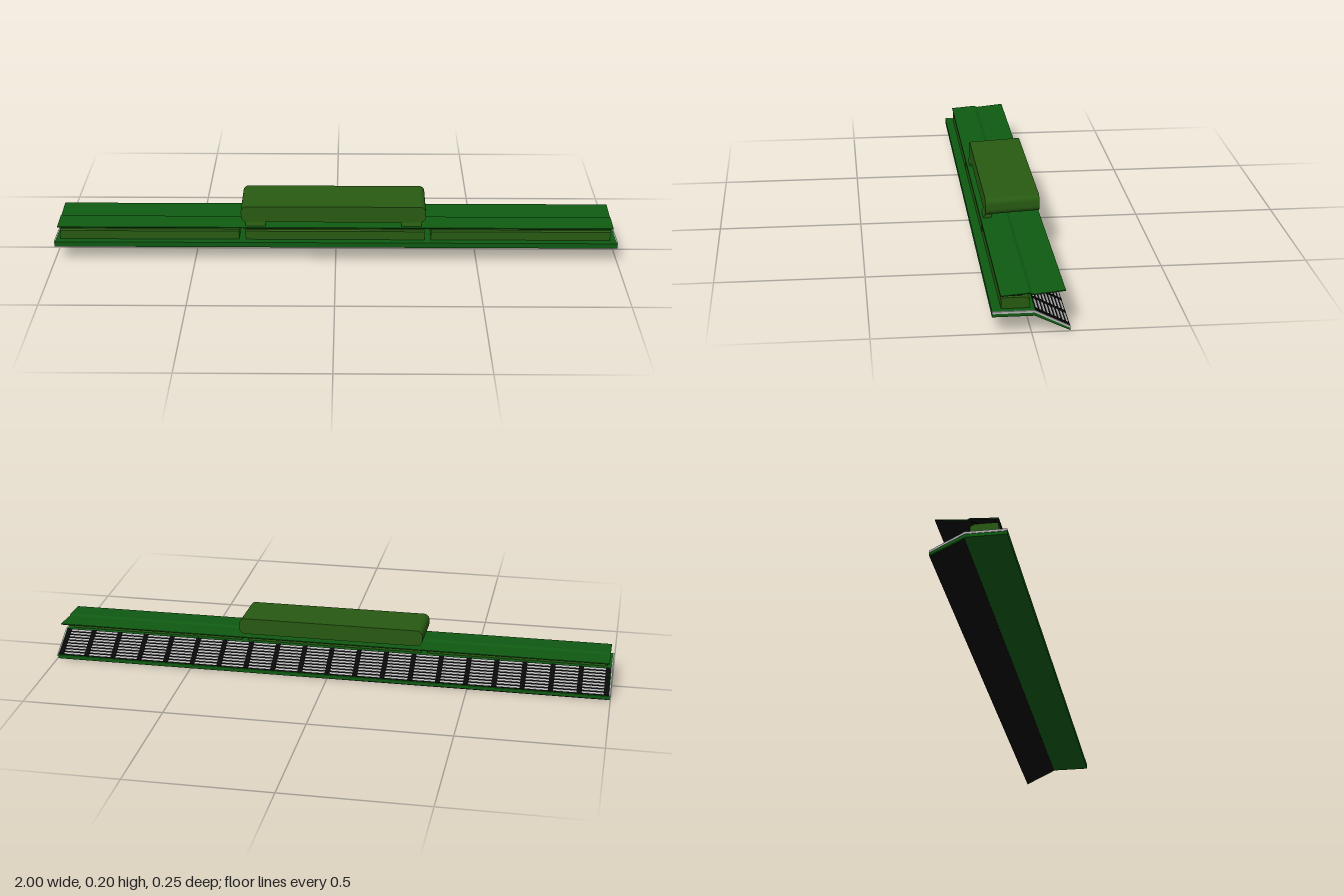
import * as THREE from 'three';

const mat = (color, side = THREE.FrontSide) =>
  new THREE.MeshStandardMaterial({ color, side, flatShading: true });
const GREEN = mat(0x0f5a12), OLIVE = mat(0x285a12), BLACK = mat(0x080808), GREY = mat(0xb4b4b4);

function add(parent, name, geometry, material) {
  const mesh = new THREE.Mesh(geometry, material);
  mesh.name = name;
  parent.add(mesh);
  return mesh;
}

// Cross-section given as [z, y] points, swept along x from x0 to x1.
function sweep(points, x0, x1) {
  const shape = new THREE.Shape(points.map(([z, y]) => new THREE.Vector2(-z, y)));
  const g = new THREE.ExtrudeGeometry(shape, { depth: x1 - x0, bevelEnabled: false });
  return g.rotateY(Math.PI / 2).translate(x0, 0, 0);
}

// Thin sheet following a [z, y] line, with thickness t added upward.
const sheet = (line, t) => [...line, ...line.map(([z, y]) => [z, y + t]).reverse()];

// Rounded rectangle in x and y.
function roundedRect(x0, y0, x1, y1, r) {
  const s = new THREE.Shape();
  s.absarc(x1 - r, y0 + r, r, -Math.PI / 2, 0);
  s.absarc(x1 - r, y1 - r, r, 0, Math.PI / 2);
  s.absarc(x0 + r, y1 - r, r, Math.PI / 2, Math.PI);
  s.absarc(x0 + r, y0 + r, r, Math.PI, Math.PI * 1.5);
  return s;
}

export function createModel() {
  const model = new THREE.Group();

  // Base plate: flat at the front, sloping down at the back
  const base = new THREE.Group();
  base.name = 'base';
  model.add(base);
  add(base, 'basePlate', sweep([
    [0.123, 0.055], [0.123, 0.073], [-0.01, 0.073], [-0.122, 0.014], [-0.122, 0.001], [-0.01, 0.055],
  ], -0.998, 0.998), GREEN);
  add(base, 'slopeLining', sweep(sheet([[-0.012, 0.053], [-0.122, 0]], 0.003), -0.99, 0.99), BLACK);

  // Pale trim on both ends
  const trim = sheet([[0.123, 0.066], [-0.01, 0.066], [-0.122, 0.009]], 0.0075);
  for (const s of [-1, 1]) {
    add(base, 'endTrim', sweep(trim, s * 0.998 - 0.002, s * 0.998 + 0.002), GREY);
  }

  // Slatted panels on the back slope
  const slope = new THREE.Group();
  slope.name = 'slopePanels';
  slope.position.set(0, 0.0435, -0.066);
  slope.rotation.x = -Math.atan2(0.059, 0.112);
  base.add(slope);
  const length = 0.122, rows = 9, panels = 20, pitch = 1.98 / panels;
  add(slope, 'panelBacking', new THREE.BoxGeometry(1.98, 0.002, length), BLACK);
  const slat = new THREE.BoxGeometry(1.98, 0.002, length / rows * 0.5);
  for (let i = 0; i < rows; i++) {
    add(slope, 'slat', slat, GREY).position.set(0, 0.001, ((i + 0.5) / rows - 0.5) * length);
  }
  const rib = new THREE.BoxGeometry(0.018, 0.003, length);
  for (let i = 0; i <= panels; i++) {
    const x = THREE.MathUtils.clamp(-0.99 + i * pitch, -0.985, 0.985);
    add(slope, 'rib', rib, BLACK).position.set(x, 0.0015, 0);
  }

  // Three chamfered blocks standing on the base
  const block = [
    [0.093, 0.073], [0.093, 0.104], [0.088, 0.109], [0.016, 0.109], [0.003, 0.101], [0.003, 0.073],
  ];
  for (const [x0, x1] of [[-0.98, -0.343], [-0.32, 0.315], [0.338, 0.975]]) {
    add(model, 'block', sweep(block, x0, x1), OLIVE);
  }

  // Thin bent brackets between blocks and roof
  const bracket = sheet([[0.09, 0.117], [0.07, 0.109], [0.03, 0.109], [0.003, 0.122]], 0.002);
  for (let i = 0; i < 20; i++) {
    const x = -0.957 + i * 0.1;
    for (const dx of [-0.016, 0.016]) {
      add(model, 'bracket', sweep(bracket, x + dx - 0.003, x + dx + 0.003), BLACK);
    }
  }

  // Folded roof sheet with a dark underside
  const fold = [[0.095, 0.117], [0.055, 0.12], [0.005, 0.124], [-0.006, 0.119], [-0.108, 0.129]];
  add(model, 'roof', sweep(sheet(fold, 0.0025), -0.99, 0.985), GREEN);
  add(model, 'roofLining', sweep(sheet(fold.map(([z, y]) => [z, y - 0.001]), 0.001), -0.989, 0.984), BLACK);

  // Rounded box above the roof, rising slightly to the back
  const box = new THREE.ExtrudeGeometry(roundedRect(-0.337, 0.134, 0.32, 0.192, 0.02),
    { depth: 0.186, bevelEnabled: false, curveSegments: 6 }).translate(0, 0, -0.106);
  const p = box.attributes.position;
  for (let i = 0; i < p.count; i++) p.setY(i, p.getY(i) + (0.08 - p.getZ(i)) * 0.052);
  box.computeVertexNormals();
  add(model, 'topBox', box, OLIVE);

  // Feet holding the box
  const foot = [[0.086, 0.118], [0.078, 0.14], [0.052, 0.14], [0.06, 0.119]];
  for (const s of [-1, 1]) {
    add(model, 'boxFoot', sweep(foot, s * 0.277 - 0.043, s * 0.277 + 0.027), OLIVE);
  }
  return model;
}
